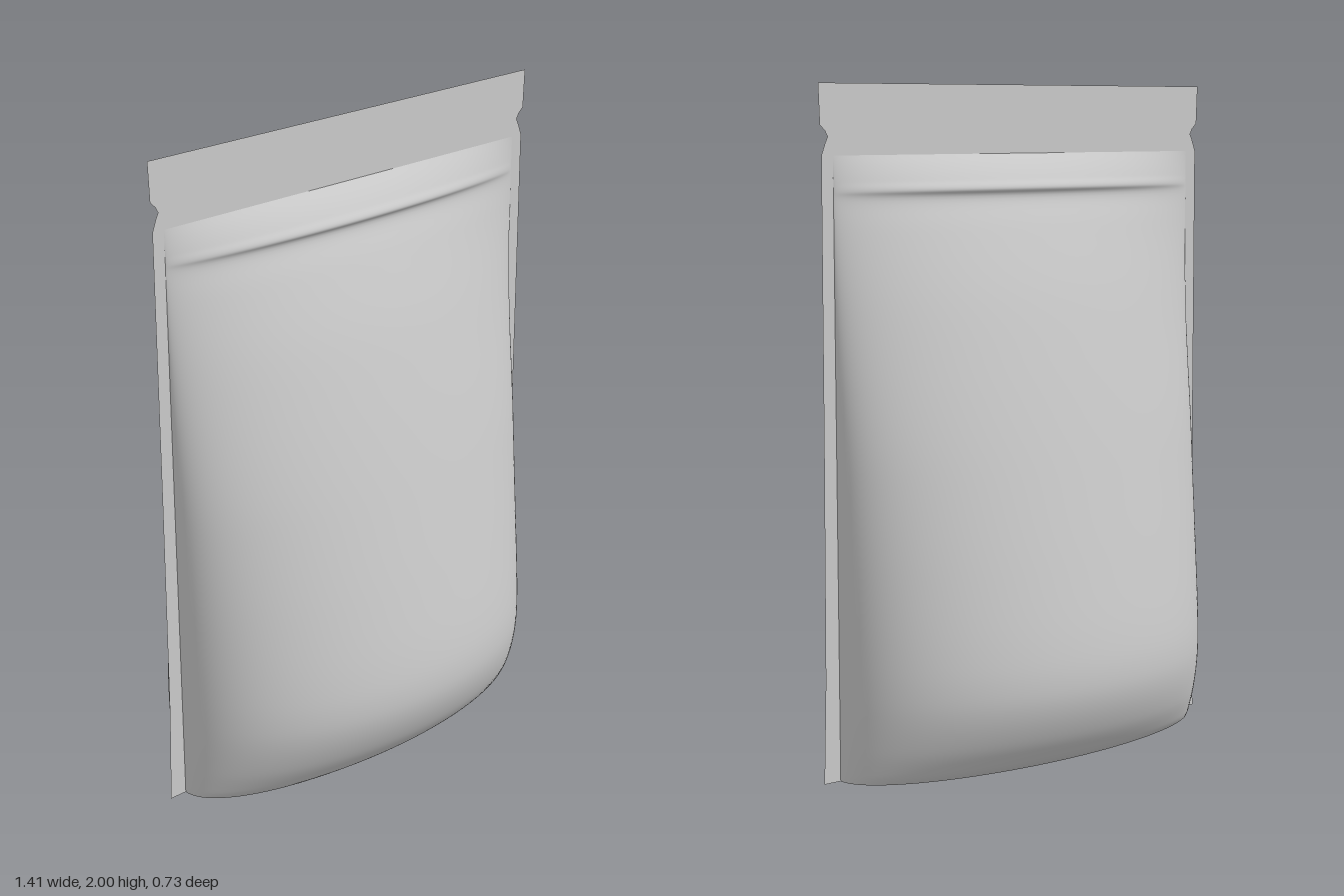
import * as THREE from 'three';

const HALF_W = 0.65;

// Smooth open surface from a rule point(u, v), with u and v in 0..1
function surface(nu, nv, point) {
  const positions = [], index = [];
  for (let j = 0; j <= nv; j++) {
    for (let i = 0; i <= nu; i++) positions.push(...point(i / nu, j / nv));
  }
  for (let j = 0; j < nv; j++) {
    for (let i = 0; i < nu; i++) {
      const a = j * (nu + 1) + i, d = a + nu + 1;
      index.push(a, a + 1, d + 1, a, d + 1, d);
    }
  }
  const g = new THREE.BufferGeometry();
  g.setAttribute('position', new THREE.Float32BufferAttribute(positions, 3));
  g.setIndex(index);
  g.computeVertexNormals();
  return g;
}

export function createModel() {
  const group = new THREE.Group();
  const film = new THREE.MeshStandardMaterial({ color: 0xcccccc, side: THREE.DoubleSide });
  film.name = 'grey film';

  const add = (name, geometry) => {
    const mesh = new THREE.Mesh(geometry, film);
    mesh.name = name;
    group.add(mesh);
    return mesh;
  };

  // Side profile: half depth against height, with the zip ridge near the top
  const profile = new THREE.SplineCurve([
    [0.225, 0], [0.262, 0.03], [0.315, 0.1], [0.353, 0.19], [0.365, 0.28],
    [0.354, 0.4], [0.318, 0.6], [0.278, 0.8], [0.236, 1], [0.19, 1.2],
    [0.139, 1.4], [0.082, 1.58], [0.05, 1.67], [0.061, 1.7], [0.048, 1.725],
    [0.034, 1.75], [0.018, 1.775], [0, 1.8],
  ].map(([d, y]) => new THREE.Vector2(d, y)));

  // Cross-section: full and rounded low down, lens-shaped at the zip
  const across = (s, y) => {
    const power = 0.5 + 0.2 * THREE.MathUtils.smoothstep(y, 0.9, 1.7);
    return Math.pow(Math.max(0, 1 - s * s), power);
  };
  const spread = (u) => Math.sin((u - 0.5) * Math.PI);

  // Front and back panels
  const panel = surface(64, 102, (u, v) => {
    const p = profile.getPoint(v), s = spread(u);
    return [HALF_W * s, p.y, p.x * across(s, p.y)];
  });
  add('frontPanel', panel);
  add('backPanel', panel).rotation.y = Math.PI;

  // Bottom gusset, arched up into the pouch
  add('bottomGusset', surface(64, 24, (u, v) => {
    const s = spread(u), w = 2 * v - 1, f = across(s, 0);
    return [HALF_W * s, 0.13 * (1 - w * w) * f, 0.225 * w * f];
  }));

  // Flat heat seal: header with tear notches and two side strips
  const edge = [
    [0.705, 0], [0.696, 0.3], [0.691, 1.0], [0.688, 1.8], [0.675, 1.835],
    [0.667, 1.852], [0.675, 1.868], [0.692, 1.885], [0.696, 2],
  ];
  const inner = [[0.645, 1.76], [0.645, 0]];
  const half = [...edge];
  const mirrored = (pts) => pts.map(([x, y]) => [-x, y]).reverse();
  const outline = [...half, ...mirrored(edge), ...mirrored(inner), ...inner];
  const seal = new THREE.Shape(outline.map(([x, y]) => new THREE.Vector2(x, y)));
  add('heatSeal', new THREE.ShapeGeometry(seal));

  return group;
}
